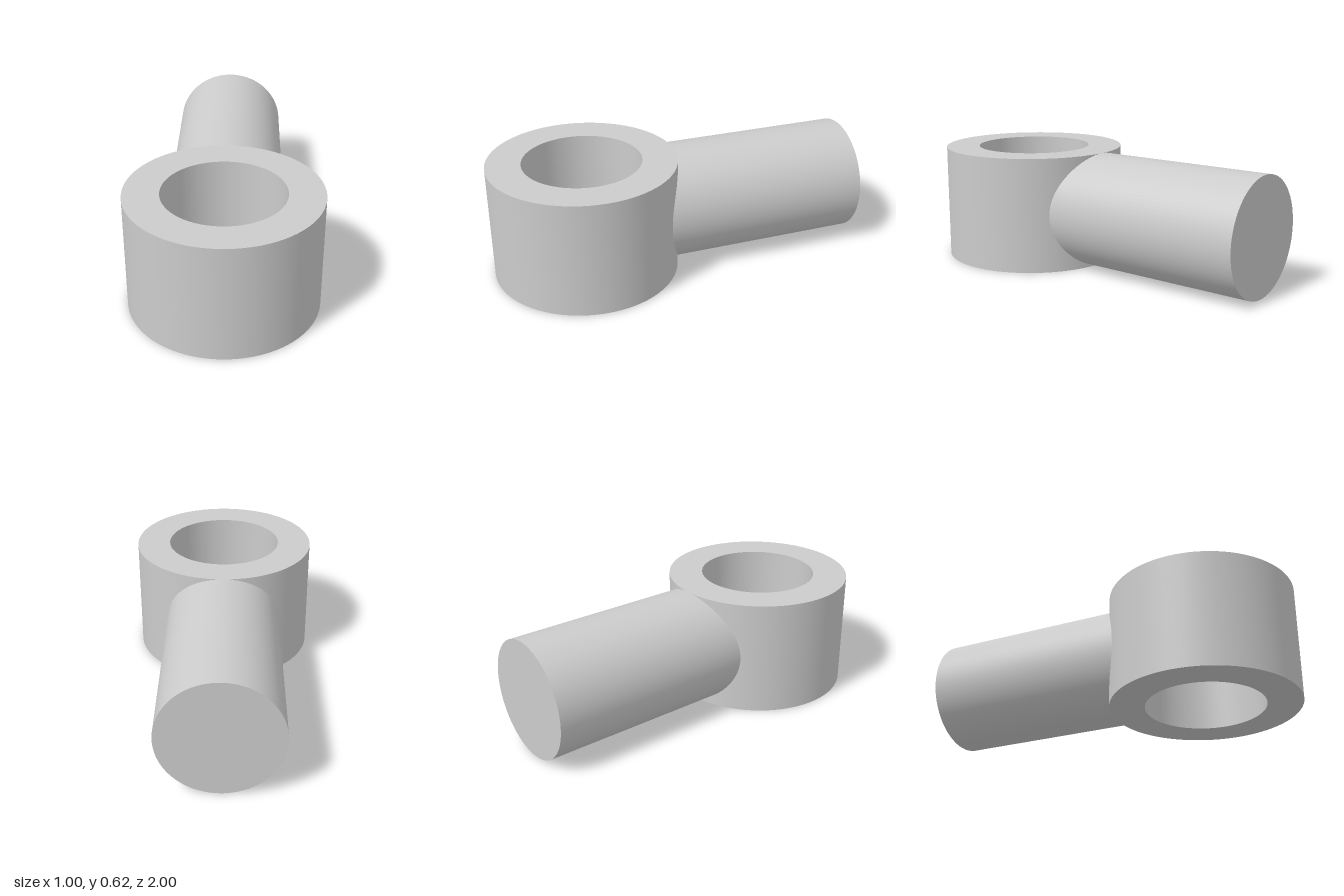
import * as THREE from 'three';
import { toCreasedNormals } from 'three/addons/utils/BufferGeometryUtils.js';

const HEIGHT = 0.625, RING_R = 0.5, HOLE_R = 0.315, RING_Z = 0.5;
const ROD_R = HEIGHT / 2, BACK_Z = -1;

export function createModel() {
  const model = new THREE.Group();
  model.name = 'rodEnd';
  const material = new THREE.MeshStandardMaterial({ color: 0xcccccc });

  const add = (name, geometry, parent = model) => {
    const mesh = new THREE.Mesh(geometry, material);
    mesh.name = name;
    parent.add(mesh);
    return mesh;
  };

  // Upright ring with a through hole
  const outline = new THREE.Shape().absarc(0, 0, RING_R, 0, Math.PI * 2, false);
  outline.holes.push(new THREE.Path().absarc(0, 0, HOLE_R, 0, Math.PI * 2, true));
  const ring = new THREE.ExtrudeGeometry(outline, { depth: HEIGHT, bevelEnabled: false, curveSegments: 96 });
  ring.rotateX(-Math.PI / 2);
  add('ring', toCreasedNormals(ring, 0.6)).position.z = RING_Z;

  // Rod wall, its front end shaped to meet the ring's outer wall
  const rod = new THREE.Group();
  rod.name = 'rod';
  rod.position.y = ROD_R;
  model.add(rod);
  const wall = new THREE.CylinderGeometry(ROD_R, ROD_R, 2, 96, 1, true).rotateX(Math.PI / 2);
  const pos = wall.attributes.position;
  for (let i = 0; i < pos.count; i++) {
    const x = pos.getX(i);
    pos.setZ(i, pos.getZ(i) > 0 ? RING_Z - Math.sqrt(RING_R ** 2 - x * x) : BACK_Z);
  }
  add('rodWall', wall, rod);

  // Flat back end of the rod
  add('rodEndCap', new THREE.CircleGeometry(ROD_R, 96).rotateY(Math.PI), rod).position.z = BACK_Z;

  return model;
}
